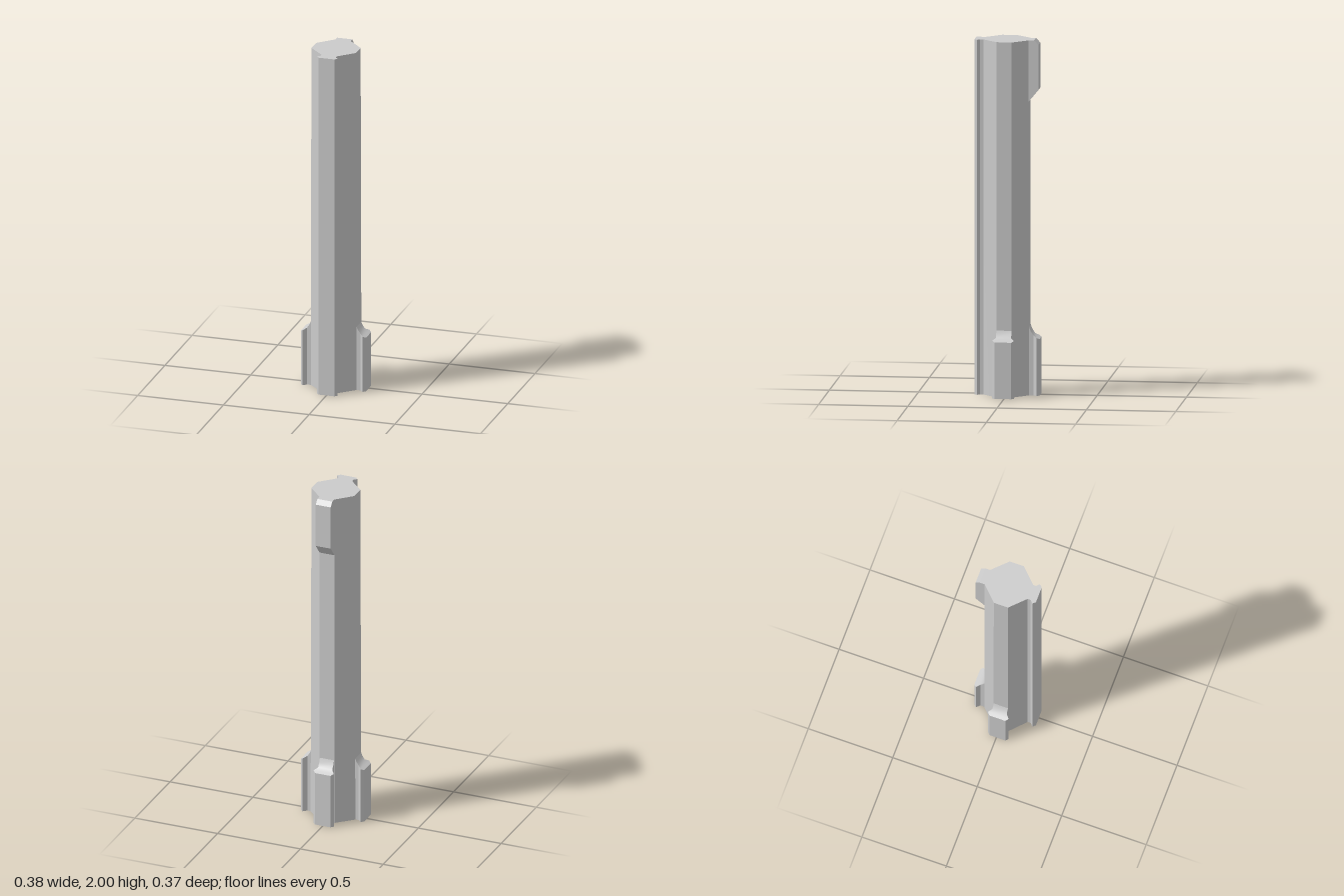
import * as THREE from 'three';
import { toCreasedNormals } from 'three/addons/utils/BufferGeometryUtils.js';

const material = new THREE.MeshStandardMaterial({ color: 0xcccccc });

function addPart(parent, name, geometry) {
  const mesh = new THREE.Mesh(toCreasedNormals(geometry, 0.5), material);
  mesh.name = name;
  parent.add(mesh);
  return mesh;
}

// Right half of the shaft outline as [x, z], front rib first
const outline = [
  [0.047, 0.182], [0.061, 0.166], [0.044, 0.15], [0.044, 0.132],
  [0.13, 0.047], [0.13, -0.037], [0.046, -0.122],
];

function shaftGeometry() {
  const mirrored = outline.map(([x, z]) => [-x, z]).reverse();
  const points = [...outline, ...mirrored].map(([x, z]) => new THREE.Vector2(x, -z));
  const geometry = new THREE.ExtrudeGeometry(new THREE.Shape(points), { depth: 2, bevelEnabled: false });
  geometry.rotateX(-Math.PI / 2);
  // The side flats widen very slightly towards the foot
  const p = geometry.attributes.position;
  for (let i = 0; i < p.count; i++) {
    if (p.getY(i) < 0.01 && Math.abs(p.getX(i)) > 0.1) p.setX(i, Math.sign(p.getX(i)) * 0.135);
  }
  return geometry;
}

// Sections of a foot lug going outward: [distance, half width, top height]
const lugSections = [
  [0, 0.0425, 0.387], [0.01, 0.0425, 0.36], [0.025, 0.0425, 0.338],
  [0.045, 0.061, 0.326], [0.06, 0.047, 0.318],
];

function lugGeometry() {
  const n = lugSections.length - 1;
  const geometry = new THREE.BoxGeometry(2, 1, n, 1, 1, n);
  const p = geometry.attributes.position;
  for (let i = 0; i < p.count; i++) {
    const [distance, halfWidth, top] = lugSections[Math.round(p.getZ(i) + n / 2)];
    p.setXYZ(i, p.getX(i) * halfWidth, p.getY(i) > 0 ? top : 0, distance);
  }
  return geometry;
}

// Chamfered key at the upper back, side profile as [z, y]
function keyGeometry() {
  const profile = [[-0.11, 1.642], [-0.122, 1.655], [-0.176, 1.72], [-0.176, 1.975], [-0.152, 2], [-0.11, 2]];
  const shape = new THREE.Shape(profile.map(([z, y]) => new THREE.Vector2(-z, y)));
  const geometry = new THREE.ExtrudeGeometry(shape, { depth: 0.09, bevelEnabled: false });
  geometry.translate(0, 0, -0.045);
  geometry.rotateY(Math.PI / 2);
  return geometry;
}

export function createModel() {
  const model = new THREE.Group();
  model.name = 'keyedShaft';
  addPart(model, 'shaft', shaftGeometry());
  addPart(model, 'upperBackKey', keyGeometry());

  // Three lugs around the foot: name, x, z, turn
  const lugs = [
    ['leftFootLug', 0.13, 0.006, Math.PI / 2],
    ['rightFootLug', -0.13, 0.006, -Math.PI / 2],
    ['backFootLug', 0, -0.123, Math.PI],
  ];
  for (const [name, x, z, turn] of lugs) {
    const lug = addPart(model, name, lugGeometry());
    lug.position.set(x, 0, z);
    lug.rotation.y = turn;
  }
  return model;
}
